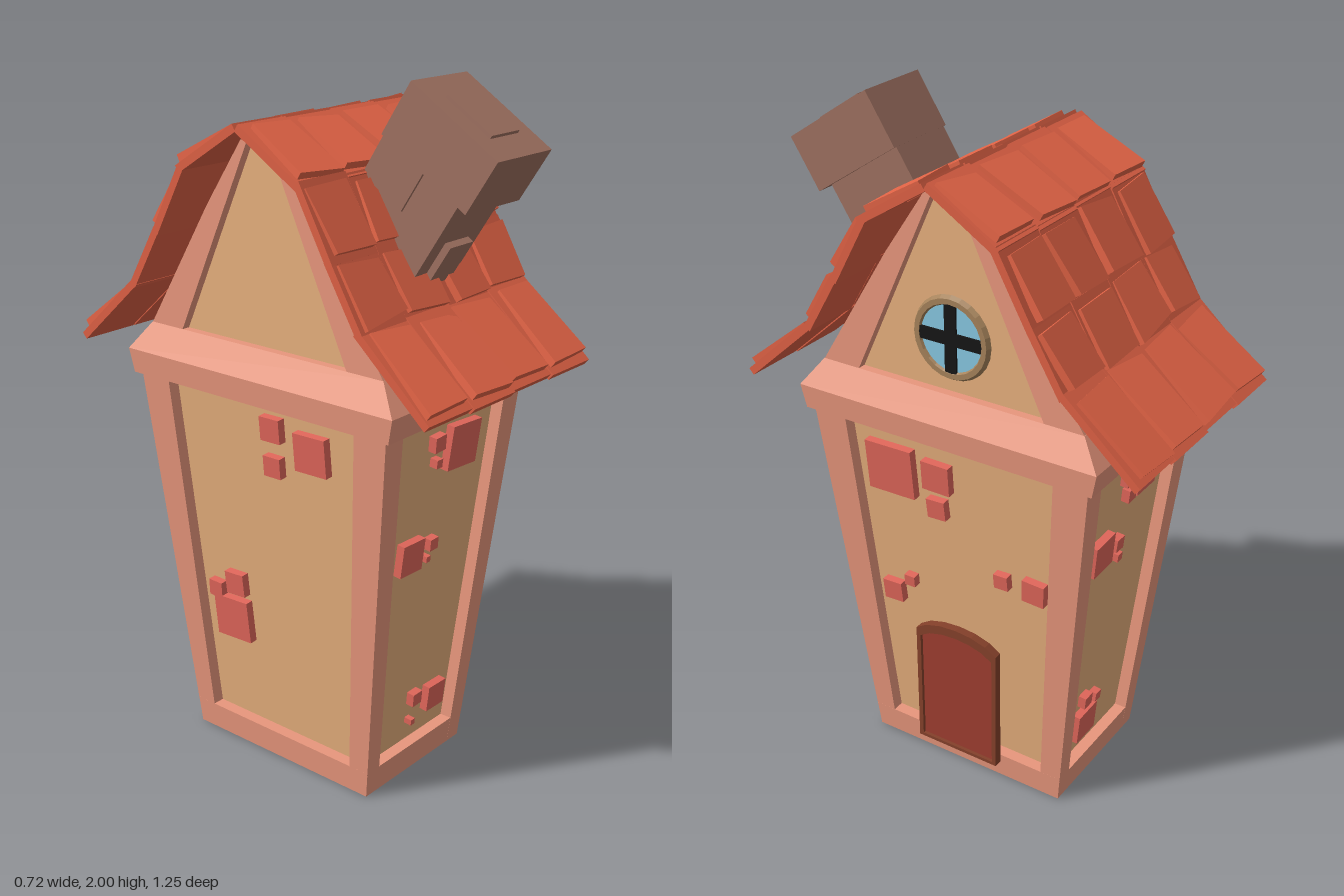
import * as THREE from 'three';

const mat = (color) => new THREE.MeshStandardMaterial({ color, flatShading: true });
const M = {
  beam: mat(0xe8967c), plaster: mat(0xe6af7c), roof: mat(0xdd6044), tile: mat(0xe46446),
  stone: mat(0x9e7060), brick: mat(0xe0665a), door: mat(0x9c3d2f), doorFrame: mat(0x84402a),
  glass: mat(0x86c6e0), ring: mat(0xa5825a), bar: mat(0x151515),
};

let seed = 7;
const rnd = (a) => {
  seed = (seed * 16807) % 2147483647;
  return (seed / 2147483647 * 2 - 1) * a;
};

function add(parent, name, geo, material, x = 0, y = 0, z = 0) {
  const m = new THREE.Mesh(geo, material);
  m.name = name;
  m.position.set(x, y, z);
  parent.add(m);
  return m;
}
const box = (w, h, d) => new THREE.BoxGeometry(w, h, d);

// Six-sided block between two rectangles [x0, x1, z0, z1]
function taper(lo, y0, hi, y1) {
  const g = box(1, 1, 1), p = g.attributes.position;
  for (let i = 0; i < p.count; i++) {
    const up = p.getY(i) > 0, r = up ? hi : lo;
    p.setXYZ(i, p.getX(i) > 0 ? r[1] : r[0], up ? y1 : y0, p.getZ(i) > 0 ? r[3] : r[2]);
  }
  g.computeVertexNormals();
  return g;
}
const rect = (x, z) => [-x, x, -z, z];

// Shape from [x, y] points
const shape = (pts) => new THREE.Shape(pts.map(([x, y]) => new THREE.Vector2(x, y)));
const extrude = (s, depth) => new THREE.ExtrudeGeometry(s, { depth, bevelEnabled: false, curveSegments: 6 });

// Slab tile with slightly skewed corners
function tileGeo(w, h, d, skew) {
  const g = box(w, h, d), p = g.attributes.position;
  const off = [0, 1, 2, 3].map(() => [rnd(skew), rnd(skew)]);
  for (let i = 0; i < p.count; i++) {
    const o = off[(p.getX(i) > 0 ? 1 : 0) + (p.getZ(i) > 0 ? 2 : 0)];
    p.setX(i, p.getX(i) + o[0]);
    p.setZ(i, p.getZ(i) + o[1]);
  }
  g.computeVertexNormals();
  return g;
}

function archShape(w, y0, spring, top) {
  const s = new THREE.Shape();
  s.moveTo(-w, y0);
  s.lineTo(w, y0);
  s.lineTo(w, spring);
  s.bezierCurveTo(w * 0.6, top, -w * 0.6, top, -w, spring);
  s.closePath();
  return s;
}

function buildBody(root) {
  const g = new THREE.Group();
  g.name = 'body';
  root.add(g);
  // Walls set back behind the timber frame
  add(g, 'plasterWalls', taper(rect(0.185, 0.29), 0.02, rect(0.267, 0.407), 1.14), M.plaster);
  add(g, 'baseRail', taper(rect(0.22, 0.325), 0, rect(0.226, 0.333), 0.08), M.beam);
  // Corner posts widening upwards
  for (const sx of [-1, 1]) for (const sz of [-1, 1]) {
    const r = (xi, xo, zi, zo) => [
      Math.min(sx * xi, sx * xo), Math.max(sx * xi, sx * xo),
      Math.min(sz * zi, sz * zo), Math.max(sz * zi, sz * zo)];
    add(g, 'cornerPost', taper(r(0.168, 0.22, 0.262, 0.325), 0, r(0.23, 0.302, 0.338, 0.443), 1.14), M.beam);
  }
  // Eaves band in two bevelled courses
  add(g, 'bandLower', taper(rect(0.315, 0.46), 1.13, rect(0.32, 0.475), 1.2), M.beam);
  add(g, 'bandUpper', taper(rect(0.32, 0.475), 1.2, rect(0.28, 0.415), 1.28), M.beam);
}

// Walls: turn, half depth at bottom and top, bricks as [u, y, size]
const WALLS = [
  { name: 'frontBricks', turn: 0, d: [0.297, 0.414], bricks: [
    [0.08, 1.01, 0.13], [-0.035, 1.045, 0.045], [-0.03, 0.985, 0.025], [-0.105, 0.725, 0.095],
    [-0.01, 0.735, 0.035], [-0.03, 0.695, 0.018], [0.095, 0.195, 0.08], [0, 0.225, 0.04], [-0.01, 0.15, 0.018]] },
  { name: 'backBricks', turn: Math.PI, d: [0.297, 0.414], bricks: [
    [0.08, 1.0, 0.1], [-0.01, 1.04, 0.06], [0, 0.97, 0.04], [-0.12, 0.83, 0.1], [-0.03, 0.82, 0.04],
    [-0.02, 0.77, 0.025], [-0.07, 0.19, 0.1], [-0.08, 0.28, 0.04], [-0.02, 0.26, 0.03]] },
  { name: 'leftBricks', turn: Math.PI / 2, d: [0.192, 0.274], bricks: [
    [-0.205, 0.99, 0.155], [-0.05, 1.01, 0.09], [-0.055, 0.905, 0.06], [0.15, 0.73, 0.045],
    [0.255, 0.73, 0.07], [-0.17, 0.615, 0.035], [-0.235, 0.555, 0.065]] },
  { name: 'rightBricks', turn: -Math.PI / 2, d: [0.192, 0.274], bricks: [
    [0.17, 1.02, 0.11], [0.03, 1.06, 0.07], [0.03, 0.95, 0.06], [-0.17, 0.41, 0.13],
    [-0.15, 0.53, 0.07], [-0.23, 0.49, 0.05]] },
];

function buildBricks(root) {
  for (const { name, turn, d, bricks } of WALLS) {
    const g = new THREE.Group();
    g.name = name;
    g.rotation.y = turn;
    root.add(g);
    for (const [u, y, s] of bricks) {
      const b = add(g, 'brick', box(s, s, 0.035), M.brick, u, y, d[0] + (d[1] - d[0]) * (y - 0.02) / 1.12);
      b.rotation.set(Math.atan((d[1] - d[0]) / 1.12), 0, rnd(0.06));
    }
  }
}

function buildGable(root) {
  const g = new THREE.Group();
  g.name = 'gable';
  g.rotation.y = Math.PI / 2;
  root.add(g);
  const tri = [[-0.31, 1.27], [0.31, 1.27], [0.035, 1.845], [-0.035, 1.845]];
  add(g, 'gableWall', extrude(shape(tri), 0.51), M.plaster, 0, 0, -0.255);
  // Sloping side beams
  for (const s of [-1, 1]) {
    const pts = [[0.3, 1.27], [0.42, 1.27], [0.19, 1.64], [0.06, 1.83], [0.035, 1.835]];
    add(g, 'gableBeam', extrude(shape(pts.map(([x, y]) => [x * s, y])), 0.56), M.beam, 0, 0, -0.28);
  }
  // Round window on the door side
  const w = new THREE.Group();
  w.name = 'window';
  w.position.set(0, 1.435, 0.255);
  g.add(w);
  add(w, 'windowRing', new THREE.TorusGeometry(0.106, 0.015, 6, 24), M.ring);
  add(w, 'windowGlass', new THREE.CylinderGeometry(0.105, 0.105, 0.012, 24), M.glass).rotation.x = Math.PI / 2;
  add(w, 'windowBar', box(0.036, 0.2, 0.024), M.bar);
  add(w, 'windowBar', box(0.2, 0.036, 0.024), M.bar);
}

function buildDoor(root) {
  const g = new THREE.Group();
  g.name = 'door';
  g.rotation.y = Math.PI / 2;
  g.position.set(0.252, 0, -0.005);
  root.add(g);
  const frame = archShape(0.138, 0.08, 0.478, 0.532);
  frame.holes.push(archShape(0.124, 0.09, 0.455, 0.502));
  add(g, 'doorFrame', extrude(frame, 0.025), M.doorFrame);
  add(g, 'doorPanel', extrude(archShape(0.126, 0.085, 0.457, 0.505), 0.015), M.door);
}

// One roof slope facing +z: bent sheet with four rows of four tiles
function roofSide(root, name, turn) {
  const g = new THREE.Group();
  g.name = name;
  g.rotation.y = turn;
  root.add(g);
  const rows = [[0.012, 1.875], [0.205, 1.755], [0.305, 1.575], [0.4, 1.415], [0.61, 1.228]];
  for (let r = 0; r < 4; r++) {
    const [z0, y0] = rows[r], [z1, y1] = rows[r + 1];
    const len = Math.hypot(z1 - z0, y1 - y0), slope = Math.atan2(y0 - y1, z1 - z0);
    for (let c = 0; c < 4; c++) {
      const cell = new THREE.Group();
      cell.name = 'roofCell';
      cell.position.set(-0.27 + c * 0.18, (y0 + y1) / 2, (z0 + z1) / 2);
      cell.rotation.x = slope;
      g.add(cell);
      add(cell, 'roofSheet', box(0.18, 0.022, len + 0.016), M.roof, 0, -0.005 + rnd(0.003), c % 2 ? 0.004 : -0.002);
      // Lower edge of each tile lifts off the sheet
      const t = add(cell, 'roofTile', tileGeo(0.15, 0.022, len * 0.88, 0.01), M.tile, rnd(0.006), 0.01, 0.004);
      t.rotation.set(-0.06 + rnd(0.04), rnd(0.05), rnd(0.05));
    }
  }
}

function buildChimney(root) {
  const g = new THREE.Group();
  g.name = 'chimney';
  g.position.set(0, 1.825, 0.435);
  g.rotation.x = 0.573;
  root.add(g);
  add(g, 'chimneyShaft', box(0.2, 0.44, 0.26), M.stone, 0, -0.28, -0.01);
  add(g, 'chimneyCap', box(0.235, 0.165, 0.312), M.stone, 0, 0.022, 0);
  add(g, 'chimneyCollar', box(0.215, 0.14, 0.15), M.stone, 0, -0.12, -0.08);
  add(g, 'chimneyTop', box(0.12, 0.02, 0.16), M.stone, 0, 0.104, 0);
  add(g, 'chimneyStone', box(0.1, 0.13, 0.03), M.stone, 0, -0.265, 0.125);
}

export function createModel() {
  const root = new THREE.Group();
  root.name = 'house';
  buildBody(root);
  buildBricks(root);
  buildGable(root);
  buildDoor(root);
  roofSide(root, 'roofFront', 0);
  roofSide(root, 'roofBack', Math.PI);
  buildChimney(root);
  return root;
}
